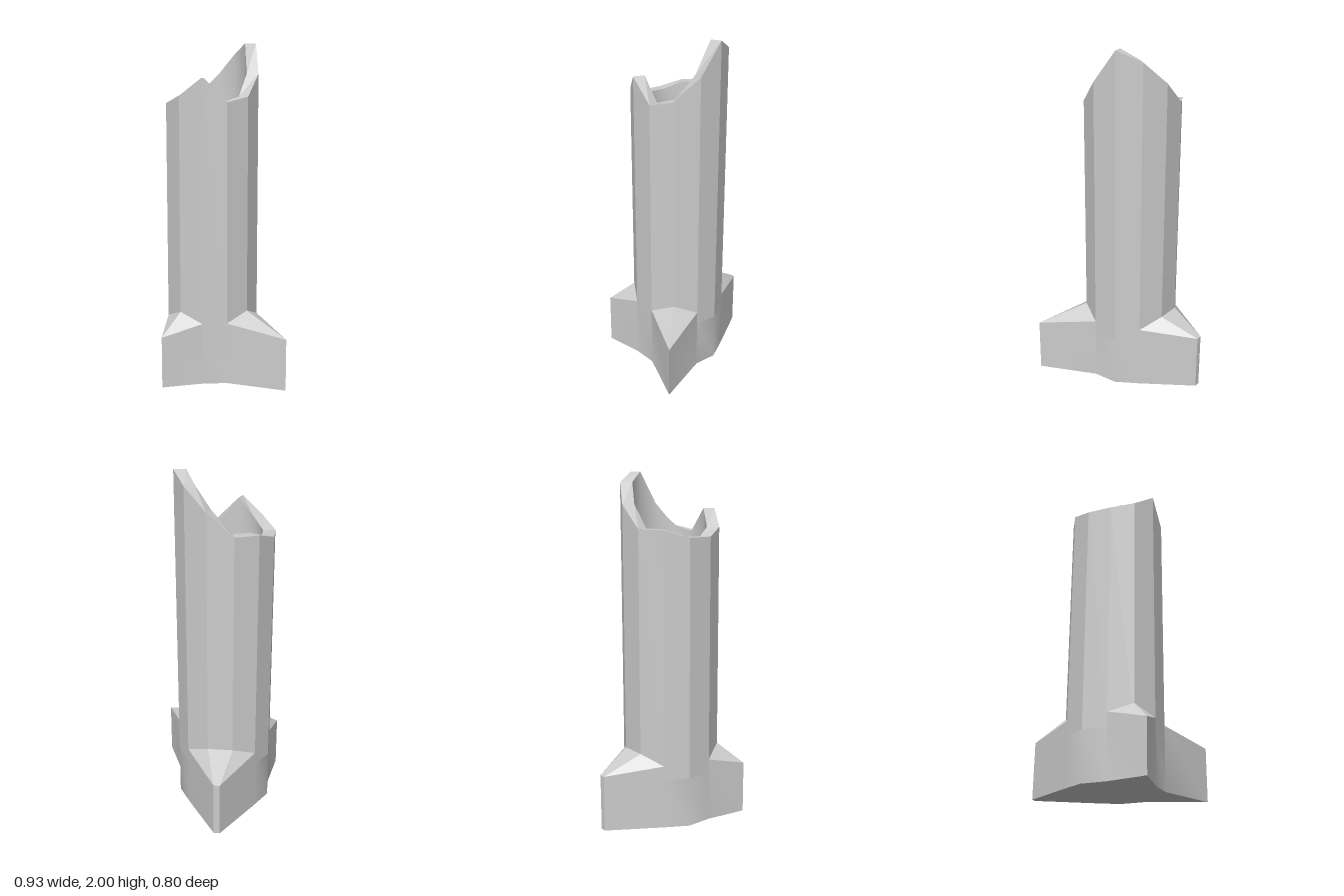
import * as THREE from 'three';
import { toCreasedNormals } from 'three/addons/utils/BufferGeometryUtils.js';

const CX = -0.109, CZ = -0.045, SIDES = 12, OUTER = 0.28, INNER = 0.21;
const BASE_Y = 0.29, FLOOR_Y = 1.57;
// Broken rim height at each of the twelve corners
const RIM = [1.69, 1.66, 1.795, 1.695, 1.65, 1.65, 1.69, 1.695, 1.82, 1.94, 2.0, 1.82];

// Buttresses: tower corners they span, heights there, and their outer tips [x, y, z]
const BUTTRESSES = [
  { corners: [11, 0, 1], heights: [0.37, 0.425, 0.37], tips: [[0.465, 0.31, -0.045]] },
  { corners: [2, 3, 4], heights: [0.37, 0.425, 0.37], tips: [[-0.109, 0.305, 0.395]] },
  { corners: [6, 7, 8, 9], heights: [0.37, 0.425, 0.425, 0.37],
    tips: [[-0.468, 0.325, -0.375], [-0.443, 0.325, -0.4]] },
];

function corner(k, r, y) {
  const a = (k % SIDES) * Math.PI * 2 / SIDES;
  return [CX + r * Math.cos(a), y, CZ + r * Math.sin(a)];
}

const quad = (a, b, c, d) => [a, b, c, a, c, d];
const atY = (p, y) => [p[0], y, p[2]];

// Upright panel from a to b, standing on height y
const panel = (a, b, y) => quad(atY(a, y), a, b, atY(b, y));

function meshFrom(name, points, material, crease = 0) {
  let geo = new THREE.BufferGeometry();
  geo.setAttribute('position', new THREE.Float32BufferAttribute(points.flat(), 3));
  if (crease) geo = toCreasedNormals(geo, crease);
  else geo.computeVertexNormals();
  const mesh = new THREE.Mesh(geo, material);
  mesh.name = name;
  return mesh;
}

export function createModel() {
  const group = new THREE.Group();
  group.name = 'ruinedTower';
  const material = new THREE.MeshStandardMaterial({ color: 0xcccccc });

  // Tower shell: faceted outside, smooth inside, ragged rim
  const outside = [], inside = [], rim = [];
  for (let k = 0; k < SIDES; k++) {
    const n = (k + 1) % SIDES;
    const oa = corner(k, OUTER, RIM[k]), ob = corner(n, OUTER, RIM[n]);
    const ia = corner(k, INNER, RIM[k]), ib = corner(n, INNER, RIM[n]);
    outside.push(...panel(oa, ob, BASE_Y));
    inside.push(...panel(ib, ia, FLOOR_Y));
    rim.push(...quad(oa, ia, ib, ob));
  }
  group.add(meshFrom('towerWall', outside, material));
  group.add(meshFrom('towerInnerWall', inside, material, 0.7));
  group.add(meshFrom('brokenRim', rim, material));

  // Floor inside the top
  const floor = new THREE.Mesh(new THREE.CircleGeometry(INNER, SIDES).rotateX(-Math.PI / 2), material);
  floor.position.set(CX, FLOOR_Y, CZ);
  floor.name = 'towerFloor';
  group.add(floor);

  // Buttress tops, and the base wall running around tips and tower corners
  const outline = [], wall = [];
  BUTTRESSES.forEach(({ corners, heights, tips }, i) => {
    const ring = corners.map((k, j) => corner(k, OUTER, heights[j]));
    const lastTip = tips[tips.length - 1];
    const top = [];
    for (let j = 0; j < ring.length - 1; j++) {
      top.push(ring[j], ring[j + 1], j === 0 ? tips[0] : lastTip);
    }
    if (tips.length > 1) top.push(ring[1], lastTip, tips[0]);
    group.add(meshFrom('buttressTop' + (i + 1), top, material));

    // Buttress sides
    const path = [ring[0], ...tips, ring[ring.length - 1]];
    for (let j = 0; j < path.length - 1; j++) wall.push(...panel(path[j], path[j + 1], 0));
    outline.push(...path);

    // Lower tower panels up to the next buttress
    const end = BUTTRESSES[(i + 1) % BUTTRESSES.length].corners[0];
    for (let k = corners[corners.length - 1]; k !== end; k = (k + 1) % SIDES) {
      wall.push(...panel(corner(k, OUTER, BASE_Y), corner(k + 1, OUTER, BASE_Y), 0));
      if ((k + 1) % SIDES !== end) outline.push(corner(k + 1, OUTER, 0));
    }
  });
  group.add(meshFrom('baseWall', wall, material, 0.7));

  // Underside
  const shape = new THREE.Shape(outline.map((p) => new THREE.Vector2(p[0], p[2])));
  const underside = new THREE.Mesh(new THREE.ShapeGeometry(shape).rotateX(Math.PI / 2), material);
  underside.name = 'underside';
  group.add(underside);

  return group;
}
